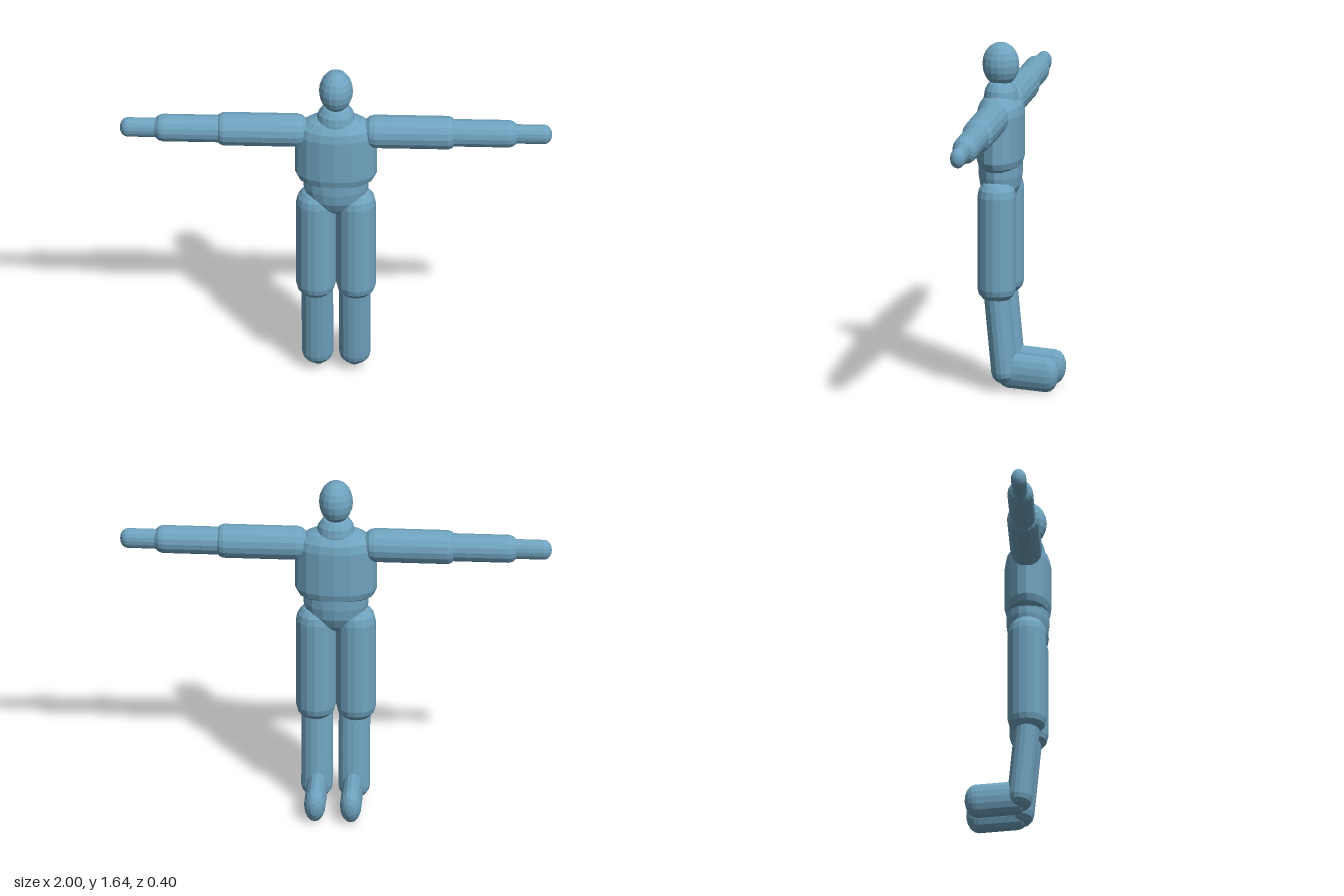
import * as THREE from 'three';

const SIDES = 16, RINGS = 4;

// Elliptical capsule from a to b (tip to tip); ra, rb are the cross radii, capA, capB the cap lengths.
function limb(name, material, a, b, rx, rz, capA, capB) {
  const start = new THREE.Vector3(...a), end = new THREE.Vector3(...b);
  const length = start.distanceTo(end), profile = [];
  for (let i = 0; i <= RINGS; i++) {
    const t = (i / RINGS) * Math.PI / 2;
    profile.push(new THREE.Vector2(Math.sin(t), capA * (1 - Math.cos(t))));
  }
  for (let i = RINGS; i >= 0; i--) {
    const t = (i / RINGS) * Math.PI / 2;
    profile.push(new THREE.Vector2(i ? Math.sin(t) : 0, length - capB * (1 - Math.cos(t))));
  }
  const geometry = new THREE.LatheGeometry(profile, SIDES);
  geometry.scale(rx, 1, rz);
  const mesh = new THREE.Mesh(geometry, material);
  mesh.name = name;
  mesh.position.copy(start);
  mesh.quaternion.setFromUnitVectors(new THREE.Vector3(0, 1, 0), end.sub(start).normalize());
  return mesh;
}

export function createModel() {
  const model = new THREE.Group();
  model.name = 'figure';
  const blue = new THREE.MeshStandardMaterial({ color: 0x6fa3bf, flatShading: true });
  blue.name = 'steel blue';
  const Z = 0.09;

  // Head and torso
  const head = new THREE.Mesh(new THREE.SphereGeometry(1, SIDES, 10), blue);
  head.name = 'head';
  head.scale.set(0.079, 0.104, 0.087);
  head.position.set(0, 1.538, Z);
  model.add(
    head,
    limb('neck', blue, [0, 1.28, Z], [0, 1.475, Z], 0.09, 0.08, 0.05, 0.09),
    limb('chest', blue, [0, 1.02, Z], [0, 1.41, Z], 0.19, 0.108, 0.08, 0.1),
    limb('pelvis', blue, [0, 0.88, Z], [0, 1.13, Z], 0.15, 0.1, 0.14, 0.05),
  );

  // Arms and legs, one set per side
  for (const [side, s] of [['left', 1], ['right', -1]]) {
    const arm = new THREE.Group(), leg = new THREE.Group();
    arm.name = side + 'Arm';
    leg.name = side + 'Leg';
    const Y = 1.32;
    arm.add(
      limb('upperArm', blue, [s * 0.12, Y, Z], [s * 0.565, Y, Z], 0.08, 0.074, 0.06, 0.045),
      limb('forearm', blue, [s * 0.48, Y, Z], [s * 0.85, Y, Z], 0.066, 0.06, 0.05, 0.05),
      limb('hand', blue, [s * 0.76, Y, Z], [s, Y, Z], 0.048, 0.036, 0.03, 0.035),
    );
    leg.add(
      limb('thigh', blue, [s * 0.093, 0.425, Z], [s * 0.093, 1.017, Z], 0.092, 0.09, 0.07, 0.085),
      limb('shin', blue, [s * 0.086, 0.04, 0.05], [s * 0.086, 0.52, 0.096], 0.073, 0.06, 0.06, 0.05),
      limb('foot', blue, [s * 0.083, 0.106, 0.09], [s * 0.083, 0.086, -0.2], 0.05, 0.083, 0.055, 0.055),
    );
    model.add(arm, leg);
  }
  return model;
}
